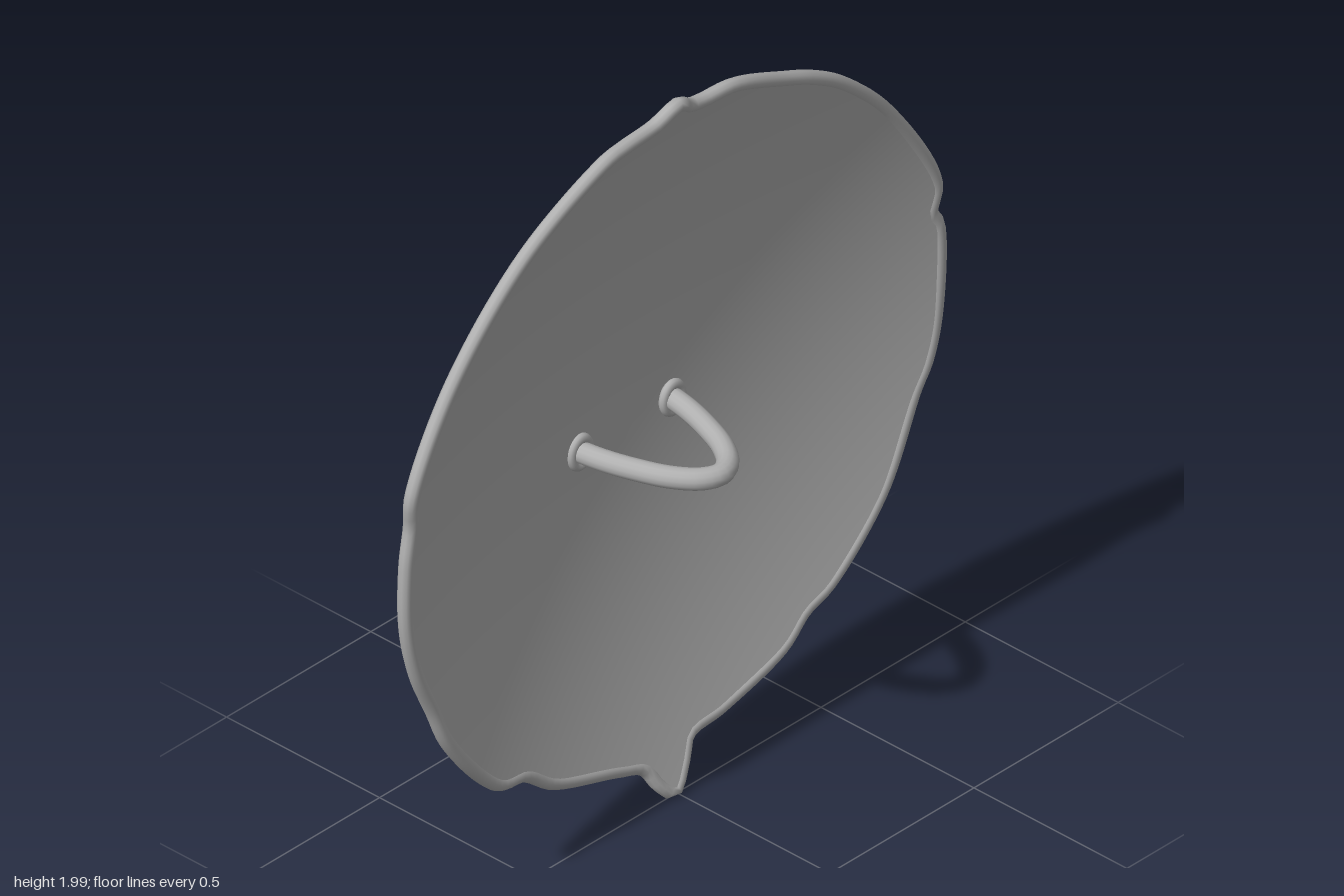
import * as THREE from 'three';

// Wavy outline of the shell, clockwise from the top crest (x, y)
const OUTLINE = [
  [0, 2], [0.05, 1.97], [0.1, 1.96], [0.2, 1.955], [0.39, 1.88], [0.48, 1.84], [0.59, 1.77], [0.75, 1.61],
  [0.92, 1.32], [0.915, 1.23], [0.935, 1.19], [0.935, 0.93], [0.905, 0.8], [0.87, 0.73], [0.75, 0.485],
  [0.57, 0.305], [0.49, 0.265], [0.405, 0.2], [0.19, 0.13], [0.075, 0.11], [0.04, 0.06], [-0.015, 0.002],
  [-0.055, 0.035], [-0.09, 0.09], [-0.17, 0.12], [-0.405, 0.2], [-0.505, 0.27], [-0.615, 0.305],
  [-0.785, 0.505], [-0.84, 0.63], [-0.905, 0.775], [-0.94, 0.925], [-0.94, 1.105], [-0.925, 1.21],
  [-0.93, 1.31], [-0.785, 1.555], [-0.53, 1.805], [-0.255, 1.95], [-0.18, 1.96], [-0.07, 1.967],
];
const RIM = 0.019;      // rim tube radius
const SEGMENTS = 240;   // samples around the outline
const RINGS = 20;       // rings from centre to rim

// Depth of the shallow bowl at a distance r from its axis
const bowl = (r) => -0.172 + 0.182 * r * r;

// Rim centre line: outline pulled in by the rim radius and laid on the bowl
function rimCurve() {
  const points = OUTLINE.map(([x, y]) => {
    const r = Math.hypot(x, y - 1);
    const s = (r - RIM) / r;
    return new THREE.Vector3(x * s, 1 + (y - 1) * s, bowl(r * s));
  });
  return new THREE.CatmullRomCurve3(points, true, 'centripetal');
}

// One skin of the shell: scaled copies of the rim joined into a grid
function skinGeometry(curve, offset, facesFront) {
  const edge = curve.getSpacedPoints(SEGMENTS);
  const positions = [], index = [], row = SEGMENTS + 1;
  for (let i = 0; i <= RINGS; i++) {
    const t = Math.max(i / RINGS, 0.0005);
    for (const p of edge) {
      const x = p.x * t, y = (p.y - 1) * t;
      positions.push(x, 1 + y, bowl(Math.hypot(x, y)) + offset);
    }
  }
  for (let i = 0; i < RINGS; i++) {
    for (let j = 0; j < SEGMENTS; j++) {
      const a = i * row + j, b = a + 1, c = a + row, d = c + 1;
      if (facesFront) index.push(a, d, c, a, b, d);
      else index.push(a, c, d, a, d, b);
    }
  }
  const geometry = new THREE.BufferGeometry();
  geometry.setAttribute('position', new THREE.Float32BufferAttribute(positions, 3));
  geometry.setIndex(index);
  // Exact bowl normals keep both skins perfectly smooth
  const normals = [], n = new THREE.Vector3(), sign = facesFront ? 1 : -1;
  for (let i = 0; i < positions.length; i += 3) {
    n.set(-0.364 * positions[i], -0.364 * (positions[i + 1] - 1), 1).normalize().multiplyScalar(sign);
    normals.push(n.x, n.y, n.z);
  }
  geometry.setAttribute('normal', new THREE.Float32BufferAttribute(normals, 3));
  return geometry;
}

export function createModel() {
  const model = new THREE.Group();
  const metal = new THREE.MeshStandardMaterial({ color: 0xb0b0b0 });
  metal.name = 'grey metal';
  const add = (name, geometry) => {
    const mesh = new THREE.Mesh(geometry, metal);
    mesh.name = name;
    model.add(mesh);
    return mesh;
  };

  // Dished shell: hollow front, domed back, rounded rim
  const curve = rimCurve();
  add('shellFront', skinGeometry(curve, RIM * 0.85, true));
  add('shellBack', skinGeometry(curve, -RIM * 0.95, false));
  add('rim', new THREE.TubeGeometry(curve, SEGMENTS, RIM, 10, true));

  // Bowed grip across the hollow
  const grip = new THREE.CatmullRomCurve3([
    [-0.182, -0.165], [-0.168, -0.08], [-0.145, 0.0], [-0.11, 0.085], [-0.065, 0.143], [-0.02, 0.162],
    [0.025, 0.143], [0.07, 0.085], [0.105, 0.0], [0.128, -0.08], [0.142, -0.165],
  ].map(([x, z]) => new THREE.Vector3(x, 1.005, z)));
  add('grip', new THREE.TubeGeometry(grip, 48, 0.028, 14, false));

  // Oval collars where the grip meets the shell
  for (const [name, x] of [['rightCollar', -0.18], ['leftCollar', 0.14]]) {
    const collar = add(name, new THREE.TorusGeometry(0.031, 0.012, 10, 28));
    collar.scale.set(1, 1.2, 1);
    collar.position.set(x, 1.005, -0.146);
  }
  return model;
}
